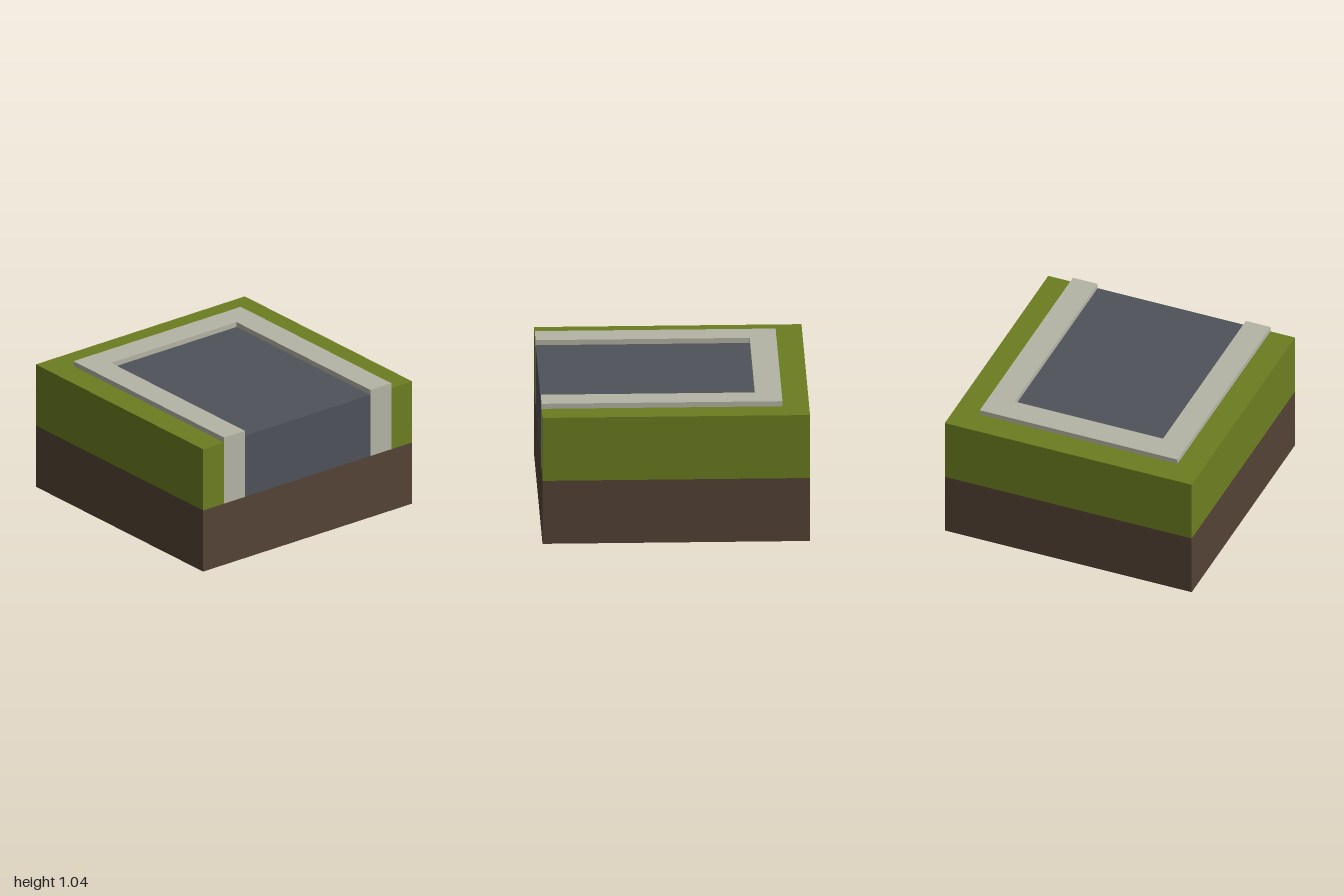
import * as THREE from 'three';

const BASE_TOP = 0.5;

function addPart(group, name, geometry, color, y) {
  const mesh = new THREE.Mesh(geometry, new THREE.MeshStandardMaterial({ color }));
  mesh.name = name;
  mesh.position.y = y;
  group.add(mesh);
}

// Upright U-shaped band, open towards +x, lying between two half-widths
function bandGeometry(outer, inner, height) {
  const shape = new THREE.Shape([
    [1, -outer], [1, -inner], [-inner, -inner], [-inner, inner],
    [1, inner], [1, outer], [-outer, outer], [-outer, -outer],
  ].map(([x, y]) => new THREE.Vector2(x, y)));
  const geometry = new THREE.ExtrudeGeometry(shape, { depth: height, bevelEnabled: false });
  return geometry.rotateX(-Math.PI / 2);
}

export function createModel() {
  const group = new THREE.Group();
  group.name = 'roadEndTile';

  // Soil block under everything
  addPart(group, 'soil', new THREE.BoxGeometry(2, BASE_TOP, 2), 0x544335, BASE_TOP / 2);

  // Grass border around three sides
  addPart(group, 'grass', bandGeometry(1, 0.8, 0.5), 0x6c7e20, BASE_TOP);

  // Raised kerb between grass and road
  addPart(group, 'kerb', bandGeometry(0.8, 0.6, 0.54), 0xb5b5a6, BASE_TOP);

  // Road slab, running out to the +x edge
  const road = new THREE.BoxGeometry(1.6, 0.5, 1.2).translate(0.2, 0.25, 0);
  addPart(group, 'road', road, 0x4f525a, BASE_TOP);

  return group;
}
